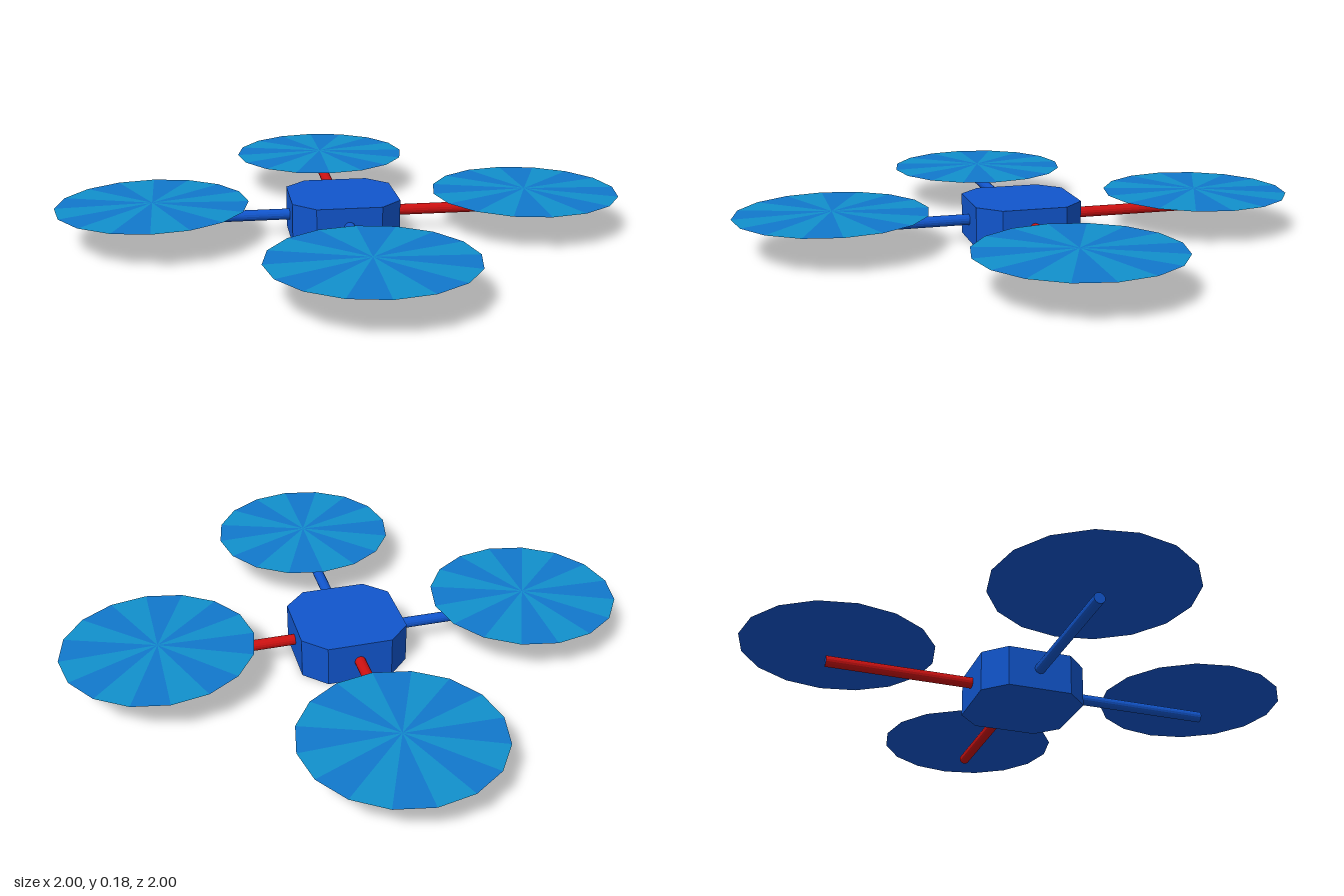
import * as THREE from 'three';

const paint = (color) => new THREE.MeshStandardMaterial({ color, flatShading: true });

// Every second triangular sector of a very shallow 16-sided cone
function sectors(radius, rise, offset) {
  const pos = [];
  const step = Math.PI / 8;
  for (let i = offset; i < 16; i += 2) {
    const a = i * step, b = a + step;
    pos.push(0, rise, 0,
      radius * Math.sin(a), 0, radius * Math.cos(a),
      radius * Math.sin(b), 0, radius * Math.cos(b));
  }
  const geo = new THREE.BufferGeometry();
  geo.setAttribute('position', new THREE.Float32BufferAttribute(pos, 3));
  geo.computeVertexNormals();
  return geo;
}

export function createModel() {
  const model = new THREE.Group();
  model.name = 'quadcopter';
  const blue = paint(0x1155cc), red = paint(0xcc1111);
  const cyan = paint(0x1190cc), azure = paint(0x1178cc);

  const add = (parent, name, geo, mat) => {
    const mesh = new THREE.Mesh(geo, mat);
    mesh.name = name;
    parent.add(mesh);
    return mesh;
  };

  // Body: a square block with broad chamfered corners
  const h = 0.265, f = 0.066;
  const outline = [[h, -f], [h, f], [f, h], [-f, h], [-h, f], [-h, -f], [-f, -h], [f, -h]];
  const shape = new THREE.Shape(outline.map(([x, y]) => new THREE.Vector2(x, y)));
  const bodyGeo = new THREE.ExtrudeGeometry(shape, { depth: 0.18, bevelEnabled: false });
  bodyGeo.rotateX(-Math.PI / 2);
  add(model, 'body', bodyGeo, blue);

  // Arms run diagonally out from the body to beneath each rotor
  const reach = 0.62 * Math.SQRT2;
  const armGeo = new THREE.CylinderGeometry(0.024, 0.024, reach, 16);
  armGeo.rotateZ(-Math.PI / 2).translate(reach / 2, 0, 0);

  // Rotor: two-tone fan on top, plain underside
  const radius = 0.415;
  const fanA = sectors(radius, 0.01, 0);
  const fanB = sectors(radius, 0.01, 1);
  const underside = new THREE.CircleGeometry(radius, 16).rotateX(Math.PI / 2);

  for (const sx of [1, -1]) {
    for (const sz of [1, -1]) {
      const label = (sz > 0 ? 'front' : 'back') + (sx > 0 ? 'Left' : 'Right');
      const arm = add(model, label + 'Arm', armGeo, [sx > 0 ? red : blue, blue, blue]);
      arm.position.y = 0.095;
      arm.rotation.y = Math.atan2(-sz, sx);

      const rotor = new THREE.Group();
      rotor.name = label + 'Rotor';
      rotor.position.set(sx * 0.585, 0.161, sz * 0.585);
      add(rotor, 'cyanSectors', fanA, cyan);
      add(rotor, 'azureSectors', fanB, azure);
      add(rotor, 'underside', underside, blue);
      model.add(rotor);
    }
  }
  return model;
}
